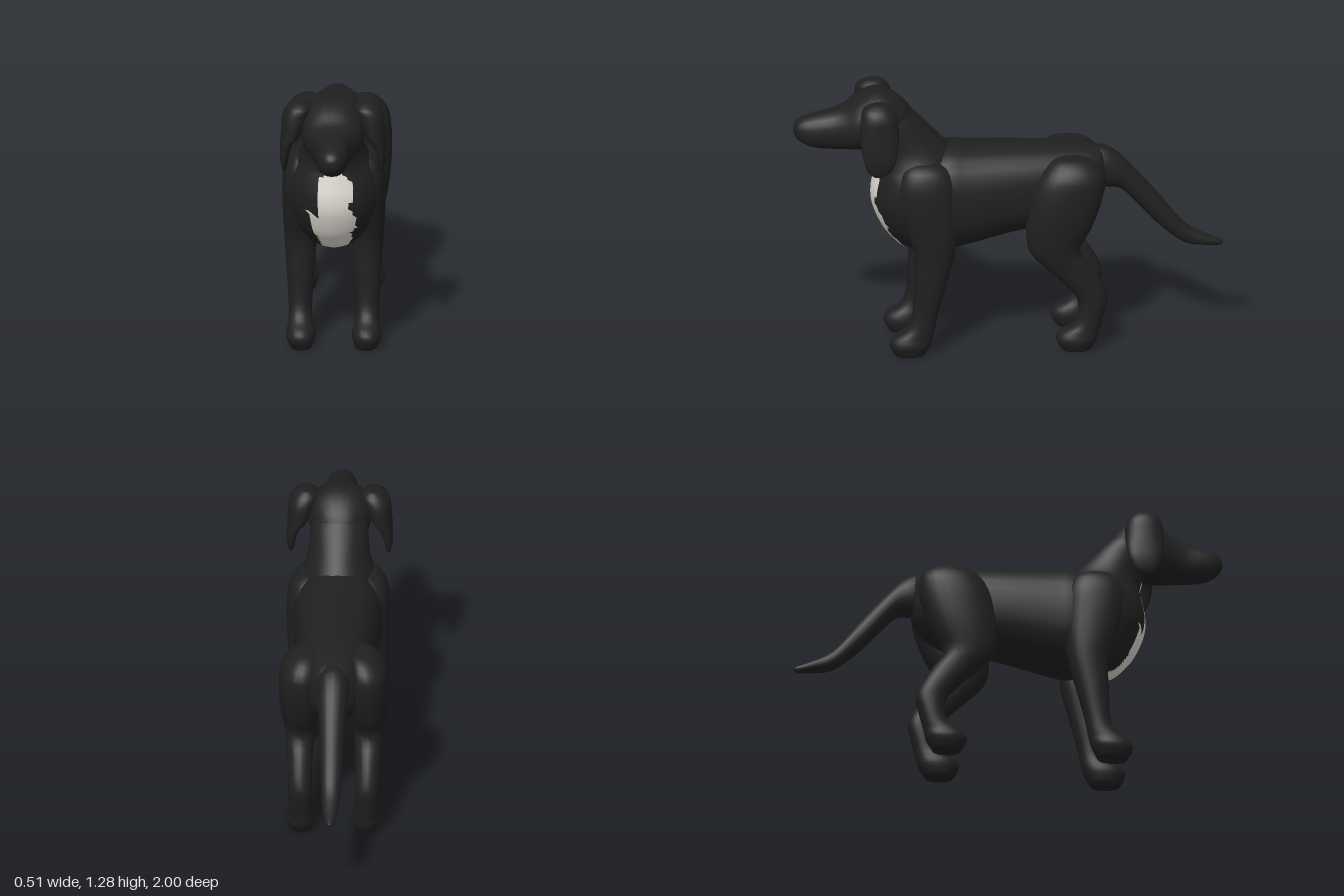
import * as THREE from 'three';

const black = new THREE.MeshStandardMaterial({ color: 0x202020 });
black.name = 'black coat';
const white = new THREE.MeshStandardMaterial({ color: 0xdedad2 });
white.name = 'white chest';

// Catmull-Rom smoothing of a list of section rows
function refine(rows, steps) {
  const out = [];
  const at = i => rows[Math.min(Math.max(i, 0), rows.length - 1)];
  for (let i = 0; i < rows.length - 1; i++) {
    for (let s = 0; s < steps; s++) {
      const t = s / steps;
      out.push(at(i).map((b, k) => {
        const a = at(i - 1)[k], c = at(i + 1)[k], d = at(i + 2)[k];
        return b + 0.5 * t * (c - a + t * (2 * a - 5 * b + 4 * c - d + t * (3 * (b - c) + d - a)));
      }));
    }
  }
  out.push(rows[rows.length - 1]);
  return out;
}

// Closed skin over rounded sections, listed in ascending order along the axis.
// axis 'y' rows: [y, x0, x1, z0, z1]   axis 'z' rows: [z, x0, x1, y0, y1]
function loft(axis, rows, sides = 24, steps = 3, power = 2.2) {
  const rings = refine(rows, steps), pos = [], idx = [];
  const put = (key, x, other) => axis === 'y' ? pos.push(x, key, other) : pos.push(x, other, key);
  const round = v => Math.sign(v) * Math.abs(v) ** (2 / power);
  for (const [key, x0, x1, o0, o1] of rings) {
    for (let j = 0; j < sides; j++) {
      const a = (j / sides) * Math.PI * 2;
      const c = round(Math.cos(a)), s = round(Math.sin(a));
      const [u, v] = axis === 'y' ? [s, c] : [c, s];
      put(key, (x0 + x1) / 2 + u * (x1 - x0) / 2, (o0 + o1) / 2 + v * (o1 - o0) / 2);
    }
  }
  const last = rings.length - 1, cap = rings.length * sides;
  for (const r of [rings[0], rings[last]]) put(r[0], (r[1] + r[2]) / 2, (r[3] + r[4]) / 2);
  for (let j = 0; j < sides; j++) {
    const k = (j + 1) % sides;
    for (let i = 0; i < last; i++) {
      const a = i * sides + j, b = i * sides + k;
      idx.push(a, b, a + sides, b, b + sides, a + sides);
    }
    idx.push(cap, k, j, cap + 1, last * sides + j, last * sides + k);
  }
  const g = new THREE.BufferGeometry();
  g.setAttribute('position', new THREE.Float32BufferAttribute(pos, 3));
  g.setIndex(idx);
  g.computeVertexNormals();
  return g;
}

// Expand [key, halfWidth, low, high] into a section centred on x = 0
const centred = rows => rows.map(([k, w, lo, hi]) => [k, -w, w, lo, hi]);
// Mirror sections to the other side of the body
const sided = (rows, s) => s > 0 ? rows : rows.map(([k, a, b, lo, hi]) => [k, -b, -a, lo, hi]);

// Split a geometry's faces by a test on the face centre
function split(g, test) {
  const p = g.attributes.position, ix = g.index.array, yes = [], no = [];
  const m = new THREE.Vector3(), v = new THREE.Vector3();
  for (let i = 0; i < ix.length; i += 3) {
    m.set(0, 0, 0);
    for (let k = 0; k < 3; k++) m.add(v.fromBufferAttribute(p, ix[i + k]));
    (test(m.divideScalar(3)) ? yes : no).push(ix[i], ix[i + 1], ix[i + 2]);
  }
  return [yes, no].map(list => g.clone().setIndex(list));
}

function inside(x, y, poly) {
  let hit = false;
  for (let i = 0, j = poly.length - 1; i < poly.length; j = i++) {
    const [ax, ay] = poly[i], [bx, by] = poly[j];
    if ((ay > y) !== (by > y) && x < (bx - ax) * (y - ay) / (by - ay) + ax) hit = !hit;
  }
  return hit;
}

export function createModel() {
  const dog = new THREE.Group();
  dog.name = 'dog';
  const add = (name, geometry, material = black) => {
    const mesh = new THREE.Mesh(geometry, material);
    mesh.name = name;
    dog.add(mesh);
    return mesh;
  };

  // Torso, rump to shoulders
  add('torso', loft('z', centred([
    [-0.455, 0.04, 0.78, 0.9], [-0.435, 0.09, 0.7, 0.945], [-0.38, 0.13, 0.64, 0.962],
    [-0.3, 0.155, 0.6, 0.972], [-0.15, 0.175, 0.58, 0.98], [0, 0.19, 0.553, 0.985],
    [0.2, 0.205, 0.502, 0.993], [0.3, 0.21, 0.49, 0.995], [0.42, 0.18, 0.52, 0.95],
    [0.5, 0.1, 0.6, 0.85]]), 28, 3, 2.4));

  // Chest and neck, with the white blaze cut out along a ragged outline
  const chest = loft('y', centred([
    [0.485, 0.04, 0.38, 0.47], [0.5, 0.085, 0.34, 0.5], [0.53, 0.125, 0.28, 0.535],
    [0.6, 0.175, 0.25, 0.59], [0.7, 0.208, 0.22, 0.633], [0.78, 0.215, 0.22, 0.64],
    [0.86, 0.208, 0.22, 0.625], [0.92, 0.178, 0.23, 0.615], [0.98, 0.15, 0.27, 0.63],
    [1.05, 0.137, 0.335, 0.66], [1.14, 0.13, 0.42, 0.68], [1.2, 0.1, 0.48, 0.66]]), 56, 5, 2);
  const blaze = [
    [-0.05, 0.48], [-0.06, 0.53], [-0.09, 0.6], [-0.1, 0.66], [-0.12, 0.715], [-0.075, 0.69],
    [-0.07, 0.75], [-0.075, 0.82], [-0.06, 0.88], [-0.037, 0.9], [-0.03, 0.967], [0.012, 0.945],
    [0.02, 0.915], [0.037, 0.965], [0.037, 0.9], [0.06, 0.89], [0.09, 0.85], [0.09, 0.77],
    [0.062, 0.75], [0.1, 0.69], [0.105, 0.62], [0.08, 0.59], [0.085, 0.55], [0.06, 0.48]];
  const [patch, coat] = split(chest, m => m.z > 0.42 && inside(m.x, m.y, blaze));
  add('chestAndNeck', coat);
  const facets = patch.toNonIndexed();
  facets.computeVertexNormals();
  add('chestPatch', facets, white);

  // Head and muzzle
  add('head', loft('z', centred([
    [0.44, 0.05, 1.08, 1.15], [0.48, 0.1, 1.03, 1.21], [0.55, 0.14, 1.0, 1.265],
    [0.62, 0.15, 0.99, 1.282], [0.7, 0.14, 0.99, 1.25], [0.76, 0.112, 0.99, 1.205],
    [0.82, 0.086, 0.99, 1.183], [0.9, 0.074, 0.998, 1.165], [0.95, 0.062, 1.018, 1.15],
    [0.985, 0.042, 1.045, 1.13], [1.0, 0.015, 1.075, 1.105]])));

  // Tail, tip to root
  add('tail', loft('z', centred([
    [-1.0, 0.01, 0.442, 0.456], [-0.98, 0.02, 0.432, 0.466], [-0.92, 0.033, 0.437, 0.49],
    [-0.82, 0.044, 0.455, 0.55], [-0.7, 0.053, 0.55, 0.7], [-0.6, 0.061, 0.66, 0.82],
    [-0.52, 0.068, 0.742, 0.905], [-0.45, 0.075, 0.75, 0.952], [-0.38, 0.07, 0.78, 0.955]]), 20));

  const frontLeg = [
    [0, 0.1, 0.2, 0.4, 0.54], [0.05, 0.085, 0.222, 0.375, 0.565], [0.09, 0.09, 0.215, 0.362, 0.55],
    [0.13, 0.1, 0.21, 0.353, 0.49], [0.2, 0.1, 0.21, 0.34, 0.46], [0.35, 0.09, 0.22, 0.3, 0.453],
    [0.5, 0.08, 0.23, 0.262, 0.45], [0.62, 0.08, 0.237, 0.25, 0.49], [0.75, 0.07, 0.24, 0.25, 0.525],
    [0.85, 0.08, 0.235, 0.26, 0.525], [0.92, 0.08, 0.21, 0.29, 0.5], [0.95, 0.1, 0.17, 0.34, 0.46]];
  const hindLeg = [
    [0, 0.1, 0.2, -0.37, -0.24], [0.05, 0.085, 0.222, -0.4, -0.21], [0.09, 0.09, 0.215, -0.41, -0.225],
    [0.13, 0.1, 0.21, -0.42, -0.29], [0.2, 0.1, 0.21, -0.438, -0.312], [0.27, 0.1, 0.21, -0.45, -0.3],
    [0.35, 0.1, 0.215, -0.415, -0.23], [0.42, 0.095, 0.222, -0.37, -0.155], [0.5, 0.085, 0.235, -0.32, -0.085],
    [0.6, 0.06, 0.25, -0.37, -0.07], [0.7, 0.05, 0.257, -0.41, -0.08], [0.8, 0.05, 0.255, -0.435, -0.1],
    [0.88, 0.06, 0.24, -0.43, -0.14], [0.94, 0.08, 0.19, -0.37, -0.2], [0.95, 0.11, 0.15, -0.31, -0.25]];
  const ear = [
    [0.925, 0.22, 0.23, 0.6, 0.64], [0.95, 0.212, 0.24, 0.565, 0.67], [1.0, 0.203, 0.247, 0.54, 0.69],
    [1.06, 0.185, 0.245, 0.53, 0.7], [1.1, 0.15, 0.243, 0.525, 0.705], [1.15, 0.13, 0.24, 0.525, 0.705],
    [1.2, 0.11, 0.235, 0.53, 0.7], [1.24, 0.1, 0.215, 0.55, 0.69], [1.265, 0.13, 0.18, 0.58, 0.65]];

  // Paired parts
  for (const [side, s] of [['left', 1], ['right', -1]]) {
    add(side + 'FrontLeg', loft('y', sided(frontLeg, s)));
    add(side + 'HindLeg', loft('y', sided(hindLeg, s)));
    add(side + 'Ear', loft('y', sided(ear, s)));
    add(side + 'Eye', new THREE.SphereGeometry(0.016, 12, 8)).position.set(s * 0.073, 1.155, 0.765);
  }
  return dog;
}
